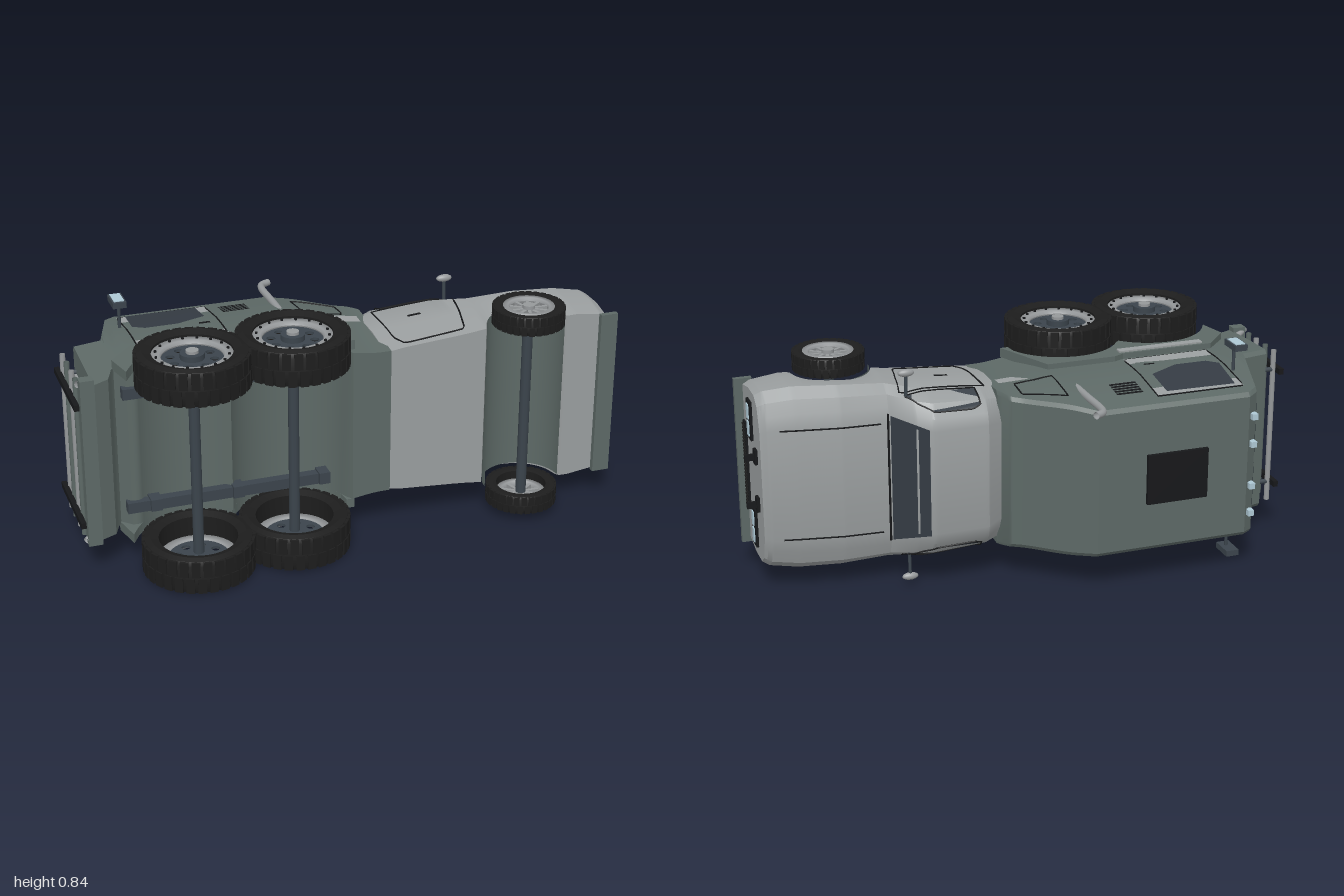
import * as THREE from 'three';
import { toCreasedNormals } from 'three/addons/utils/BufferGeometryUtils.js';

const material = (name, color) => new THREE.MeshStandardMaterial({ name, color, side: THREE.DoubleSide });
const M = {
  cab: material('light grey paint', 0x9a9e9f), body: material('grey green paint', 0x5d6966),
  tyre: material('tyre rubber', 0x1d1d1d), black: material('black trim', 0x17181a),
  glass: material('dark glass', 0x343b43), steel: material('dark steel', 0x3b444c),
  lamp: material('pale blue lamp', 0xaec8d4), metal: material('bright metal', 0x95989a),
};

// The truck is drawn along x, with y as its own height and z across, then laid on its side.
const REAR = [[-0.605, -0.29, 0.198], [-0.24, -0.25, 0.198]], FRONT = [0.64, -0.245, 0.13];

function lerpKeys(keys, x, col = 1) {
  let i = 1;
  while (i < keys.length - 1 && keys[i][0] < x) i++;
  const a = keys[i - 1], b = keys[i], t = THREE.MathUtils.clamp((x - a[0]) / (b[0] - a[0]), 0, 1);
  return a[col] + (b[col] - a[col]) * t;
}
const arch = (x, [cx, cy], r) => Math.abs(x - cx) < r ? cy + Math.sqrt(r * r - (x - cx) ** 2) : -9;

// Half cross-sections, bottom to top, as [half width, height]
const BODY_TOP = [[-0.93, 0.1], [-0.83, 0.12], [-0.76, 0.37], [-0.72, 0.4], [-0.15, 0.4], [0.06, 0.22], [0.1, 0.19], [0.13, 0.13]];
const BODY_BASE = [[-0.93, -0.21], [-0.87, -0.18], [-0.84, -0.1], [-0.8, -0.14], [-0.4, -0.16], [-0.03, -0.225], [0.13, -0.225]];
const BODY_WIDTH = [[-0.23, 0.295], [0, 0.31], [0.14, 0.315], [0.4, 0.275]];
const bodyBottom = x => Math.max(lerpKeys(BODY_BASE, x), ...REAR.map(w => arch(x, w, 0.222)));
function bodyRing(x) {
  const top = lerpKeys(BODY_TOP, x), bot = bodyBottom(x), slim = 0.02 * THREE.MathUtils.smoothstep(x, -0.1, 0.1);
  const wide = h => lerpKeys(BODY_WIDTH, h) - slim;
  const half = [0, 0.25, 0.5, 0.75].map(t => bot + (top - bot) * t).map(h => [wide(h), h]);
  half.push([wide(top), top - 0.012], [wide(top) - 0.015, top]);
  return half;
}
// x, top height, roof half width, belt half width, belt height
const CAB = [[0.11, 0.14, 0.22, 0.29, 0.06], [0.18, 0.187, 0.235, 0.3, 0.07], [0.375, 0.19, 0.235, 0.315, 0.07], [0.43, 0.155, 0.24, 0.32, 0.05],
  [0.51, 0.08, 0.26, 0.33, 0.01], [0.68, 0.07, 0.26, 0.34, 0], [0.83, 0.043, 0.26, 0.343, -0.03], [0.93, 0.022, 0.25, 0.33, -0.05], [0.955, 0.008, 0.24, 0.315, -0.06]];
function cabRing(x) {
  const [top, wt, wb, belt] = [1, 2, 3, 4].map(c => lerpKeys(CAB, x, c));
  const bot = Math.max(x < 0.7 ? -0.222 : -0.24, arch(x, FRONT, 0.147));
  return [[wb - 0.02, bot], [wb, (bot + belt) / 2], [wb, belt], [wt + (wb - wt) * 0.6, belt + (top - belt) * 0.6],
    [wt, top - 0.012], [wt * 0.82, top]];
}
function widthAt(ring, x, h) {
  return lerpKeys(ring(x).map(([w, y]) => [y, w]), h);
}

// Skins cross-sections into a closed hull
function loft(ring, x0, x1, steps, keys) {
  const xs = [...Array(steps + 1).keys()].map(i => x0 + (x1 - x0) * i / steps).concat(keys.map(k => k[0]));
  const stations = [...new Set(xs)].filter(x => x >= x0 && x <= x1).sort((a, b) => a - b);
  const pos = [], idx = [];
  let n = 0;
  for (const x of stations) {
    const half = ring(x), loop = [...half, ...half.map(([w, h]) => [-w, h]).reverse()];
    n = loop.length;
    loop.forEach(([w, h]) => pos.push(x, h, w));
  }
  const last = (stations.length - 1) * n, end = stations.length * n;
  for (let i = 0; i < last; i += n) for (let j = 0; j < n; j++) {
    const k = (j + 1) % n;
    idx.push(i + j, i + n + j, i + n + k, i + j, i + n + k, i + k);
  }
  pos.push(x0, (ring(x0)[0][1] + ring(x0).at(-1)[1]) / 2, 0, x1, (ring(x1)[0][1] + ring(x1).at(-1)[1]) / 2, 0);
  for (let j = 0; j < n; j++) idx.push(end, j, (j + 1) % n, end + 1, last + (j + 1) % n, last + j);
  const g = new THREE.BufferGeometry().setAttribute('position', new THREE.Float32BufferAttribute(pos, 3));
  g.setIndex(idx);
  return toCreasedNormals(g, 0.5);
}

export function createModel() {
  const model = new THREE.Group(), truck = new THREE.Group();
  model.name = 'truck'; truck.name = 'truckOnSide';
  truck.rotation.x = -Math.PI / 2; truck.position.y = 0.42;
  model.add(truck);

  const add = (name, geo, mat, parent = truck) => {
    const m = new THREE.Mesh(geo, mat);
    m.name = name; parent.add(m);
    return m;
  };
  // Box by its limits
  const box = (name, mat, x0, x1, y0, y1, z0, z1, parent) =>
    add(name, new THREE.BoxGeometry(x1 - x0, y1 - y0, z1 - z0).translate((x0 + x1) / 2, (y0 + y1) / 2, (z0 + z1) / 2), mat, parent);
  const rod = (name, mat, pts, r, parent) => {
    const path = new THREE.CurvePath();
    for (let i = 1; i < pts.length; i++) path.add(new THREE.LineCurve3(new THREE.Vector3(...pts[i - 1]), new THREE.Vector3(...pts[i])));
    return add(name, new THREE.TubeGeometry(path, pts.length > 2 ? 48 : 1, r, r < 0.005 ? 4 : 10), mat, parent);
  };
  // Thin plate laid on both flanks of a hull
  const flank = (name, mat, ring, pts, lift = 0.004) => [1, -1].forEach(s => {
    const g = new THREE.ShapeGeometry(new THREE.Shape(pts.map(p => new THREE.Vector2(...p)))), p = g.attributes.position;
    for (let i = 0; i < p.count; i++) p.setZ(i, s * (widthAt(ring, p.getX(i), p.getY(i)) + lift));
    if (s < 0) g.setIndex([...g.index.array].reverse());
    g.computeVertexNormals();
    add(name, g, mat);
  });
  const seam = (name, ring, pts, lift = 0.002) => [1, -1].forEach(s => {
    const fine = [];
    pts.forEach((a, i) => {
      const b = pts[(i + 1) % pts.length];
      for (let t = 0; t < 1; t += 0.25) fine.push([a[0] + (b[0] - a[0]) * t, a[1] + (b[1] - a[1]) * t]);
    });
    fine.push(pts[0]);
    rod(name, M.black, fine.map(([x, h]) => [x, h, s * (widthAt(ring, x, h) + lift)]), 0.003);
  });
  // Flat plate on a slope between two [x, height] points
  const slope = (name, mat, a, b, wa, wb, lift = 0.005) => {
    const l = Math.hypot(b[0] - a[0], b[1] - a[1]), side = Math.sign(b[0] - a[0]);
    const nx = -(b[1] - a[1]) / l * side * lift, ny = (b[0] - a[0]) / l * side * lift;
    const v = [[a, wa[0]], [a, wa[1]], [b, wb[1]], [b, wb[0]]].flatMap(([p, w]) => [p[0] + nx, p[1] + ny, w]);
    const g = new THREE.BufferGeometry().setAttribute('position', new THREE.Float32BufferAttribute(v, 3));
    g.setIndex([0, 1, 2, 0, 2, 3]); g.computeVertexNormals();
    add(name, g, mat);
  };
  const rect = (x0, x1, y0, y1) => [[x0, y0], [x1, y0], [x1, y1], [x0, y1]];

  // Hulls
  add('rearBody', loft(bodyRing, -0.93, 0.13, 90, BODY_TOP), M.body);
  add('cab', loft(cabRing, 0.11, 0.955, 80, CAB), M.cab);
  add('frontArchLiner', new THREE.CylinderGeometry(0.145, 0.145, 0.63, 32, 1, true, 0, Math.PI)
    .rotateX(Math.PI / 2).rotateZ(Math.PI / 2).translate(FRONT[0], FRONT[1], 0), M.body);

  // Rear fenders with the arches cut out
  const rim = [[-0.84, -0.1], [-0.75, 0], [-0.4, 0.0], [-0.36, 0.02], [-0.1, 0.02], [0, -0.21], [-0.03, -0.21]];
  for (let x = -0.035; x > -0.82; x -= 0.015) rim.push([x, Math.max(-0.21, ...REAR.map(w => arch(x, w, 0.222)))]);
  const fender = new THREE.ExtrudeGeometry(new THREE.Shape(rim.map(p => new THREE.Vector2(...p))), { depth: 0.035, bevelEnabled: false });
  [0.295, -0.33].forEach(z => add('rearFender', fender.clone().translate(0, 0, z), M.body));
  [1, -1].forEach(s => box('fenderStep', M.cab, -0.72, -0.39, -0.04, -0.01, s * 0.333 - 0.003, s * 0.333 + 0.003));
  flank('fenderPatch', M.cab, bodyRing, [[-0.01, 0.08], [0.1, 0.06], [0.1, 0.015], [0.04, 0.02]]);

  // Rear body doors, windows and vents
  const door = rect(-0.72, -0.39, 0.025, 0.345);
  flank('rearDoor', M.cab, bodyRing, door, 0.005);
  seam('rearDoorSeam', bodyRing, door, 0.003);
  flank('rearDoorWindow', M.glass, bodyRing, [[-0.7, 0.18], [-0.66, 0.15], [-0.54, 0.15], [-0.43, 0.2], [-0.43, 0.33], [-0.69, 0.335]], 0.009);
  flank('rearDoorHandle', M.black, bodyRing, rect(-0.47, -0.43, 0.115, 0.128), 0.01);
  for (let i = 0; i < 5; i++) flank('sideVent', M.black, bodyRing, rect(-0.35, -0.25, 0.23 + i * 0.017, 0.242 + i * 0.017), 0.005);
  seam('quarterPanelSeam', bodyRing, [[-0.085, 0.1], [-0.085, 0.265], [0.055, 0.18], [0.055, 0.09]]);
  [1, -1].forEach(s => slope('rearWindow', M.glass, [-0.822, 0.15], [-0.765, 0.352], [s * 0.012, s * 0.24], [s * 0.012, s * 0.225]));
  box('roofHatch', M.black, -0.56, -0.33, 0.395, 0.414, -0.093, 0.093);
  [-0.185, -0.08, 0.08, 0.185].forEach(z => box('roofLamp', M.lamp, -0.75, -0.728, 0.385, 0.412, z - 0.011, z + 0.011));

  // Exhaust stack
  const bend = new THREE.CatmullRomCurve3([[-0.145, 0.15], [-0.145, 0.3], [-0.145, 0.43], [-0.135, 0.458], [-0.105, 0.476]].map(([x, h]) => new THREE.Vector3(x, h, 0.295)));
  add('exhaustStack', new THREE.TubeGeometry(bend, 32, 0.013, 12), M.metal);

  // Cab glass, doors and hood seams
  slope('windshield', M.glass, [0.505, 0.085], [0.392, 0.18], [-0.235, 0.235], [-0.2, 0.2]);
  const cabWindow = [[0.2, 0.085], [0.2, 0.155], [0.23, 0.165], [0.37, 0.165], [0.42, 0.125], [0.46, 0.085]];
  flank('cabSideWindow', M.glass, cabRing, cabWindow, 0.006);
  seam('cabWindowFrame', cabRing, cabWindow, 0.005);
  seam('cabDoorSeam', cabRing, [[0.16, 0.07], [0.47, 0.07], [0.45, -0.05], [0.42, -0.19], [0.19, -0.2], [0.165, -0.15]]);
  flank('cabDoorHandle', M.black, cabRing, rect(0.26, 0.31, -0.045, -0.03), 0.008);
  [1, -1].forEach(s => rod('hoodSeam', M.black, [0.54, 0.61, 0.68, 0.76, 0.83, 0.89].map(x => [x, lerpKeys(CAB, x) + 0.001, s * 0.205]), 0.003));
  rod('cowlSeam', M.black, [[0.515, 0.081, -0.24], [0.515, 0.081, 0.24]], 0.004);

  // Nose: lamps, grille, hooks and bumper
  box('grille', M.black, 0.95, 0.963, -0.235, -0.195, -0.165, 0.165);
  for (let i = 0; i < 24; i++) box('grilleSlat', M.tyre, 0.96, 0.967, -0.23, -0.2, -0.158 + i * 0.0134, -0.151 + i * 0.0134);
  [1, -1].forEach(s => {
    box('headlampFrame', M.black, 0.95, 0.964, -0.155, -0.097, s * 0.204 - 0.072, s * 0.204 + 0.072);
    [-0.032, 0.032].forEach(o => box('headlamp', M.lamp, 0.96, 0.968, -0.14, -0.113, s * 0.204 + o - 0.027, s * 0.204 + o + 0.027));
    box('towHookPlate', M.black, 0.95, 0.966, -0.072, -0.04, s * 0.09 - 0.027, s * 0.09 + 0.027);
    box('towHook', M.black, 0.96, 1, -0.058, -0.048, s * 0.09 - 0.012, s * 0.09 + 0.012);

    // Mirrors
    rod('cabMirrorArm', M.steel, [[0.45, 0.085, s * 0.29], [0.45, 0.09, s * 0.38]], 0.006);
    add('cabMirror', new THREE.SphereGeometry(1, 14, 10).scale(0.03, 0.014, 0.014).translate(0.45, 0.09, s * 0.387), M.metal);
    rod('rearMirrorArm', M.steel, [[-0.735, 0.225, s * 0.29], [-0.735, 0.225, s * 0.395]], 0.006);
    box('rearMirror', M.steel, -0.762, -0.713, 0.19, 0.28, s * 0.4 - 0.011, s * 0.4 + 0.011);
    box('rearMirrorGlass', M.lamp, -0.756, -0.719, 0.2, 0.272, s * 0.412 - 0.002, s * 0.412 + 0.002);

    // Chassis rails
    box('chassisRail', M.steel, -0.82, -0.08, -0.16, -0.125, s * 0.22 - 0.02, s * 0.22 + 0.02);
    [-0.72, -0.42, -0.1].forEach(x => box('railBracket', M.steel, x - 0.02, x + 0.02, -0.175, -0.12, s * 0.215 - 0.022, s * 0.215 + 0.022));

    // Tail uprights and pipes
    box('tailUpright', M.black, -1, -0.982, -0.22, 0.11, s * 0.225 - 0.011, s * 0.225 + 0.011);
    rod('tailPipe', M.metal, [[-0.92, -0.15, s * 0.28], [-0.98, -0.19, s * 0.3]], 0.012);
  });
  box('frontBumper', M.body, 0.92, 0.985, -0.265, -0.245, -0.315, 0.315);
  box('rearBumper', M.body, -0.975, -0.925, -0.21, -0.17, -0.315, 0.315);

  // Tail guard with slotted panel
  box('tailPanel', M.metal, -0.938, -0.92, -0.13, 0.08, -0.22, 0.22);
  for (let r = 0; r < 2; r++) for (let i = 0; i < 12; i++)
    box('tailSlot', M.black, -0.942, -0.936, -0.095 + r * 0.09, -0.03 + r * 0.09, -0.203 + i * 0.0355, -0.187 + i * 0.0355);
  [0.07, 0, -0.075, -0.14].forEach((h, i) => {
    rod('tailRail', i % 2 ? M.body : M.metal, [[-0.975, h, -0.3], [-0.975, h, 0.3]], 0.01);
    [-0.225, 0.225].forEach(z => rod('tailStandoff', M.steel, [[-0.92, h, z], [-0.985, h, z]], 0.009));
  });

  // Wheels; local z points outward
  const lathe = pts => new THREE.LatheGeometry(pts.map(p => new THREE.Vector2(...p)), 40).rotateX(Math.PI / 2);
  function wheel(name, [x, h, r], width, z, rear) {
    const g = new THREE.Group(), hw = width / 2, ri = r * 0.7;
    g.name = name; g.position.set(x, h, z);
    if (z < 0) g.rotation.y = Math.PI;
    add('tyre', toCreasedNormals(lathe([[ri, -hw * 0.85], [r * 0.85, -hw], [r * 0.95, -hw * 0.9], [r * 0.98, -hw * 0.65], [r * 0.98, hw * 0.65],
      [r * 0.95, hw * 0.9], [r * 0.85, hw], [ri, hw * 0.85], [ri, -hw * 0.85]]), 0.6), M.tyre, g);
    for (let i = 0; i < 60; i++) {
      const s = i % 2 ? 1 : -1, lug = box('treadLug', M.tyre, r * 0.93, r, -r * 0.075, r * 0.075, s * hw * 0.46 - hw * 0.42, s * hw * 0.46 + hw * 0.42, g);
      lug.rotation.z = i * Math.PI / 30;
    }
    const zr = hw * 0.55;
    add('rimRing', lathe([[ri * 0.76, zr], [ri * 0.78, zr - 0.02], [ri * 1.01, zr - 0.02], [ri * 1.01, zr + 0.012], [ri * 0.8, zr + 0.012], [ri * 0.76, zr]]), M.metal, g);
    const hub = (n, rad, z0, len, mat) => add(n, new THREE.CylinderGeometry(rad, rad, len, 20).rotateX(Math.PI / 2).translate(0, 0, z0), mat, g);
    if (rear) {
      const disc = new THREE.Shape().absarc(0, 0, ri * 0.79, 0, Math.PI * 2);
      for (let i = 0; i < 8; i++) {
        const a = i * Math.PI / 4 + 0.39;
        disc.holes.push(new THREE.Path().absarc(Math.cos(a) * 0.075, Math.sin(a) * 0.075, 0.0155, 0, Math.PI * 2, true));
      }
      add('wheelDisc', new THREE.ExtrudeGeometry(disc, { depth: 0.01, bevelEnabled: false, curveSegments: 16 }).translate(0, 0, zr - 0.015), M.steel, g);
      hub('hub', 0.042, zr, 0.03, M.steel);
      hub('hubCap', 0.022, zr + 0.015, 0.02, M.metal);
      for (let i = 0; i < 16; i++) {
        const a = i * Math.PI / 8;
        add('rimBolt', new THREE.CylinderGeometry(0.005, 0.005, 0.008, 6).rotateX(Math.PI / 2).translate(Math.cos(a) * ri * 0.9, Math.sin(a) * ri * 0.9, zr + 0.014), M.black, g);
      }
    } else {
      for (let i = 0; i < 10; i++) box('spoke', M.metal, 0.01, ri * 0.82, -0.006, 0.006, zr - 0.015, zr + 0.002, g).rotation.z = i * Math.PI / 5;
      hub('hub', 0.022, zr, 0.03, M.metal);
    }
    truck.add(g);
  }
  [1, -1].forEach(s => {
    REAR.forEach(w => wheel('rearWheel', w, 0.134, s * 0.353, true));
    wheel('frontWheel', FRONT, 0.074, s * 0.354, false);
  });
  [...REAR, FRONT].forEach(([x, h]) => rod('axle', M.steel, [[x, h, -0.36], [x, h, 0.36]], 0.019));
  return model;
}
